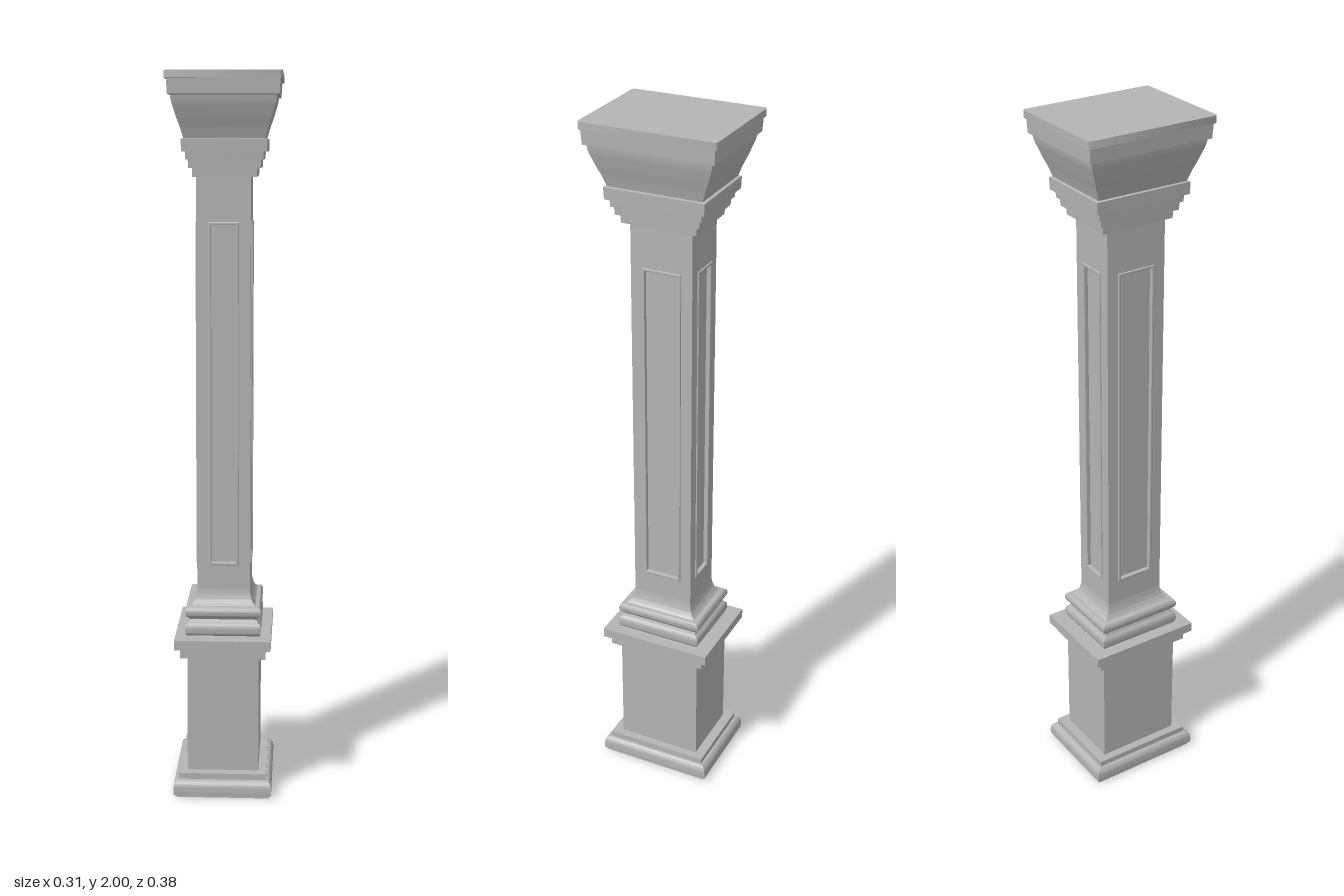
import * as THREE from 'three';
import { toCreasedNormals } from 'three/addons/utils/BufferGeometryUtils.js';

const stone = new THREE.MeshStandardMaterial({ color: 0xb4b4b4 });
stone.name = 'grey stone';

const SHIFT = -0.004;            // everything below the capital sits slightly off centre
const HX = 0.0735, HZ = 0.0885;  // shaft half sizes
const Y0 = 0.655, Y1 = 1.608;    // panelled stretch of the shaft
const RECESS = 0.01;

// Rectangular moulding: a profile of [half width, y] swept round four sides.
function moulding(name, profile, ratio, x) {
  const pos = [], idx = [];
  const corners = [[1, 1], [1, -1], [-1, -1], [-1, 1]];
  for (const [r, y] of profile) for (const [cx, cz] of corners) pos.push(cx * r, y, cz * r * ratio);
  const n = profile.length;
  for (let i = 0; i < n - 1; i++) {
    for (let k = 0; k < 4; k++) {
      const a = i * 4 + k, b = i * 4 + (k + 1) % 4;
      idx.push(a, b, b + 4, a, b + 4, a + 4);
    }
  }
  const t = (n - 1) * 4;
  idx.push(0, 2, 1, 0, 3, 2, t, t + 1, t + 2, t, t + 2, t + 3);
  const geo = new THREE.BufferGeometry();
  geo.setAttribute('position', new THREE.Float32BufferAttribute(pos, 3));
  geo.setIndex(idx);
  return part(name, toCreasedNormals(geo, 0.6), x);
}

function part(name, geo, x = 0, y = 0, z = 0) {
  const mesh = new THREE.Mesh(geo, stone);
  mesh.name = name;
  mesh.position.set(x, y, z);
  return mesh;
}

// Elliptical bulge between two heights.
function bulge(r, depth, y0, y1, steps = 8) {
  return Array.from({ length: steps + 1 }, (_, i) => {
    const a = Math.PI * i / steps;
    return [r + depth * Math.sin(a), (y0 + y1) / 2 - (y1 - y0) / 2 * Math.cos(a)];
  });
}

// Smooth curve through a few profile points.
function curve(points, steps = 10) {
  return new THREE.SplineCurve(points.map(p => new THREE.Vector2(...p)))
    .getPoints(steps).map(p => [p.x, p.y]);
}

function rectangle(Type, x0, y0, x1, y1) {
  const s = new Type();
  s.moveTo(x0, y0);
  s.lineTo(x1, y0);
  s.lineTo(x1, y1);
  s.lineTo(x0, y1);
  s.closePath();
  return s;
}

// Rectangular plate with a rectangular opening.
function frame(outer, inner, depth, bevel = 0) {
  const shape = rectangle(THREE.Shape, ...outer);
  shape.holes.push(rectangle(THREE.Path, ...inner));
  return new THREE.ExtrudeGeometry(shape, {
    depth, bevelEnabled: bevel > 0, bevelSize: bevel, bevelThickness: bevel, bevelSegments: 2, bevelOffset: -bevel,
  });
}

// One panelled face: surround flush with the shaft and a raised bead round the opening.
function panelFace(name, half, dist, angle) {
  const face = new THREE.Group();
  face.name = name;
  const w = half - 0.037;
  const a = Y0 + 0.008, b = Y1 - 0.006;
  face.add(part('panelSurround', frame([-half, Y0, half, Y1], [-w, a, w, b], RECESS), 0, 0, dist - RECESS));
  face.add(part('panelBead',
    frame([-w - 0.005, a - 0.005, w + 0.005, b + 0.005], [-w + 0.003, a + 0.003, w - 0.003, b - 0.003], 0.009, 0.002),
    0, 0, dist - 0.007));
  face.rotation.y = angle;
  return face;
}

export function createModel() {
  const column = new THREE.Group();
  column.name = 'column';

  // Pedestal with foot and top ledges
  column.add(moulding('pedestal', [
    [0.132, 0], [0.132, 0.008],
    ...curve([[0.137, 0.008], [0.138, 0.025], [0.135, 0.042], [0.126, 0.05]], 8),
    [0.123, 0.05], [0.123, 0.067], [0.1, 0.067], [0.1, 0.403],
    [0.119, 0.403], [0.119, 0.432], [0.134, 0.432], [0.134, 0.46], [0.1, 0.46],
  ], 1.23, SHIFT));

  // Moulded base of the shaft
  column.add(moulding('shaftBase', [
    [0.104, 0.46], ...bulge(0.1, 0.006, 0.462, 0.498),
    ...curve([[0.096, 0.502], [0.094, 0.508], [0.097, 0.514]], 4),
    ...bulge(0.097, 0.009, 0.514, 0.544),
    ...curve([[0.09, 0.545], [0.081, 0.556], [0.076, 0.572], [HX, 0.59]], 8),
  ], 1.2, SHIFT));

  // Shaft: plain ends, slimmer core behind the panels
  const shaft = new THREE.Group();
  shaft.name = 'shaft';
  shaft.position.x = SHIFT;
  const block = (name, hx, hz, y0, y1) =>
    shaft.add(part(name, new THREE.BoxGeometry(hx * 2, y1 - y0, hz * 2), 0, (y0 + y1) / 2, 0));
  block('shaftFoot', HX, HZ, 0.56, Y0);
  block('shaftCore', HX - RECESS, HZ - RECESS, Y0, Y1);
  block('shaftNeck', HX, HZ, Y1, 1.74);
  for (let i = 0; i < 4; i++) {
    const side = i % 2;
    shaft.add(panelFace(['frontPanel', 'leftPanel', 'backPanel', 'rightPanel'][i],
      side ? HZ : HX, side ? HX : HZ, i * Math.PI / 2));
  }
  column.add(shaft);

  // Flared capital
  column.add(moulding('capital', [
    [0.086, 1.727], [0.087, 1.75], [0.096, 1.75], [0.097, 1.772],
    [0.103, 1.772], [0.104, 1.793], [0.113, 1.793], [0.114, 1.826], [0.108, 1.828],
    ...curve([[0.109, 1.832], [0.116, 1.857], [0.124, 1.88], [0.13, 1.9], [0.136, 1.92], [0.139, 1.938]], 12),
    [0.146, 1.94], [0.148, 1.98],
  ], 1.235, 0));

  // Top slab with slightly rounded corners
  const X = 0.154, Z = 0.19, R = 0.009;
  const slab = new THREE.Shape();
  [[X - R, Z - R, 0], [R - X, Z - R, 1], [R - X, R - Z, 2], [X - R, R - Z, 3]].forEach(([x, y, q]) =>
    slab.absarc(x, y, R, q * Math.PI / 2, (q + 1) * Math.PI / 2));
  const slabGeo = new THREE.ExtrudeGeometry(slab, { depth: 0.02, bevelEnabled: false, curveSegments: 5 });
  slabGeo.rotateX(-Math.PI / 2);
  column.add(part('topSlab', toCreasedNormals(slabGeo, 0.6), 0, 1.98, 0));

  return column;
}
